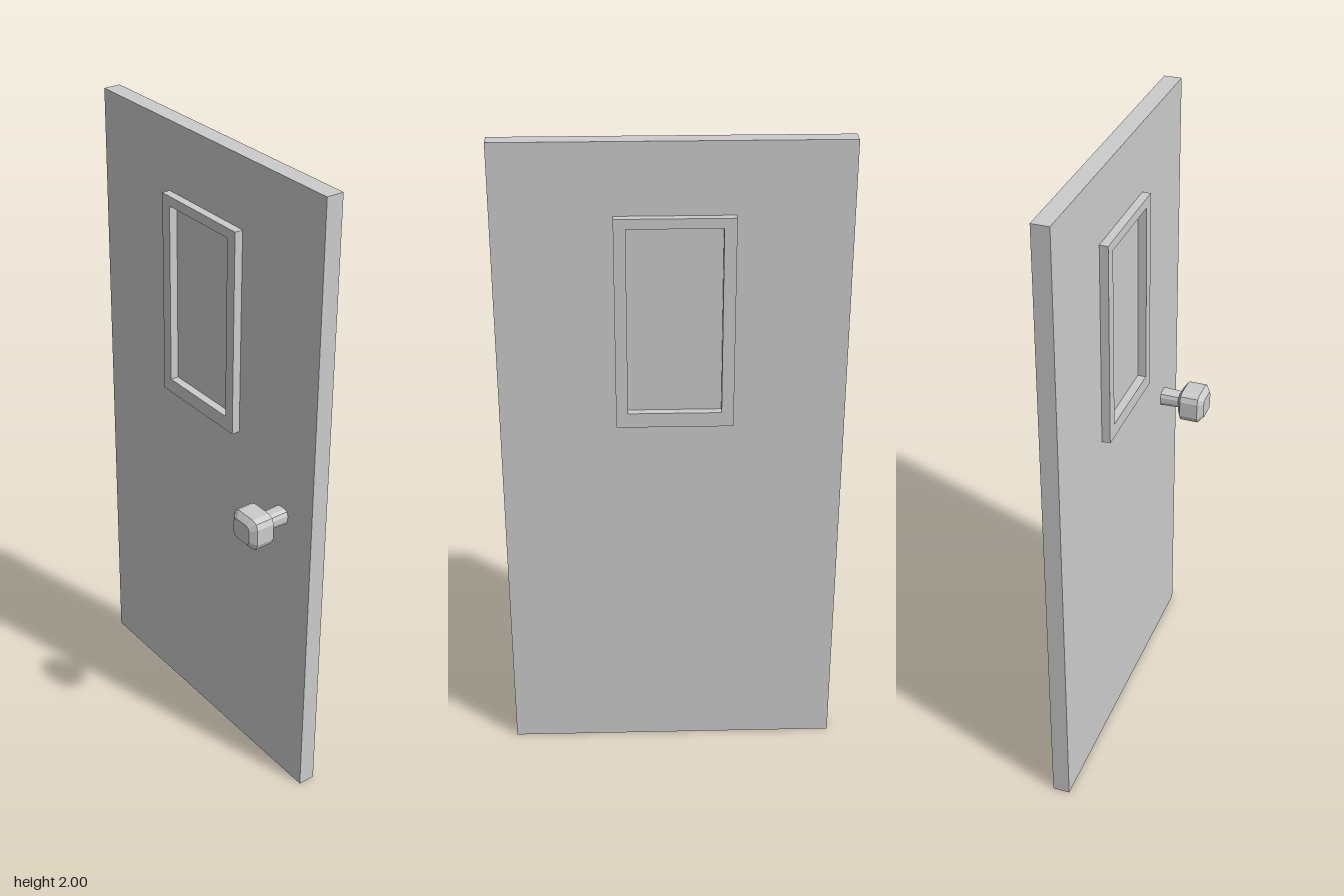
import * as THREE from 'three';

const grey = new THREE.MeshStandardMaterial({ color: 0xcccccc });
grey.name = 'paintedGrey';
const knobGrey = grey.clone();
knobGrey.name = 'knobGrey';
knobGrey.flatShading = true;

function rect(target, x0, x1, y0, y1) {
  target.moveTo(x0, y0);
  target.lineTo(x1, y0);
  target.lineTo(x1, y1);
  target.lineTo(x0, y1);
  target.closePath();
  return target;
}

// Square cross-section with rounded corners, counter-clockwise seen from +z
function roundedRing([z, hx, hy, r]) {
  const points = [];
  for (let corner = 0; corner < 4; corner++) {
    const sx = corner === 0 || corner === 3 ? 1 : -1;
    const sy = corner < 2 ? 1 : -1;
    for (let step = 0; step < 3; step++) {
      const a = (corner + step / 2) * Math.PI / 2;
      points.push([sx * (hx - r) + r * Math.cos(a), sy * (hy - r) + r * Math.sin(a), z]);
    }
  }
  return points;
}

// Skin over a row of sections, closed at the front
function loft(sections) {
  const rings = sections.map(roundedRing);
  const n = rings[0].length;
  const index = [];
  for (let s = 0; s < rings.length - 1; s++) {
    for (let i = 0; i < n; i++) {
      const j = (i + 1) % n;
      const a = s * n + i, b = s * n + j;
      index.push(a, b, b + n, a, b + n, a + n);
    }
  }
  const last = (rings.length - 1) * n;
  for (let i = 1; i < n - 1; i++) index.push(last, last + i, last + i + 1);
  const geometry = new THREE.BufferGeometry();
  geometry.setAttribute('position', new THREE.Float32BufferAttribute(rings.flat(2), 3));
  geometry.setIndex(index);
  geometry.computeVertexNormals();
  return geometry;
}

export function createModel() {
  const door = new THREE.Group();
  door.name = 'door';

  // Door slab
  const slab = new THREE.Mesh(new THREE.BoxGeometry(1.024, 2, 0.054), grey);
  slab.name = 'slab';
  slab.position.set(0, 1, -0.063);
  door.add(slab);

  // Window frame standing proud of both faces
  const outline = rect(new THREE.Shape(), -0.18, 0.167, 1.142, 1.787);
  outline.holes.push(rect(new THREE.Path(), -0.144, 0.132, 1.187, 1.757));
  const trim = new THREE.ExtrudeGeometry(outline, { depth: 0.026, bevelEnabled: false });
  for (const [name, z] of [['frontWindowFrame', -0.036], ['backWindowFrame', -0.116]]) {
    const frame = new THREE.Mesh(trim, grey);
    frame.name = name;
    frame.position.z = z;
    door.add(frame);
  }

  // Knob on its stem: z, half width, half height, corner radius
  const knob = new THREE.Group();
  knob.name = 'doorKnob';
  knob.position.set(0.377, 0.962, 0);
  const stem = new THREE.Mesh(loft([
    [-0.037, 0.027, 0.025, 0.016],
    [0.026, 0.025, 0.023, 0.015],
  ]), knobGrey);
  stem.name = 'knobStem';
  const head = new THREE.Mesh(loft([
    [0.024, 0.026, 0.024, 0.015],
    [0.028, 0.038, 0.034, 0.018],
    [0.04, 0.056, 0.05, 0.024],
    [0.098, 0.056, 0.05, 0.024],
    [0.114, 0.036, 0.032, 0.014],
  ]), knobGrey);
  head.name = 'knobHead';
  knob.add(stem, head);
  door.add(knob);

  return door;
}
